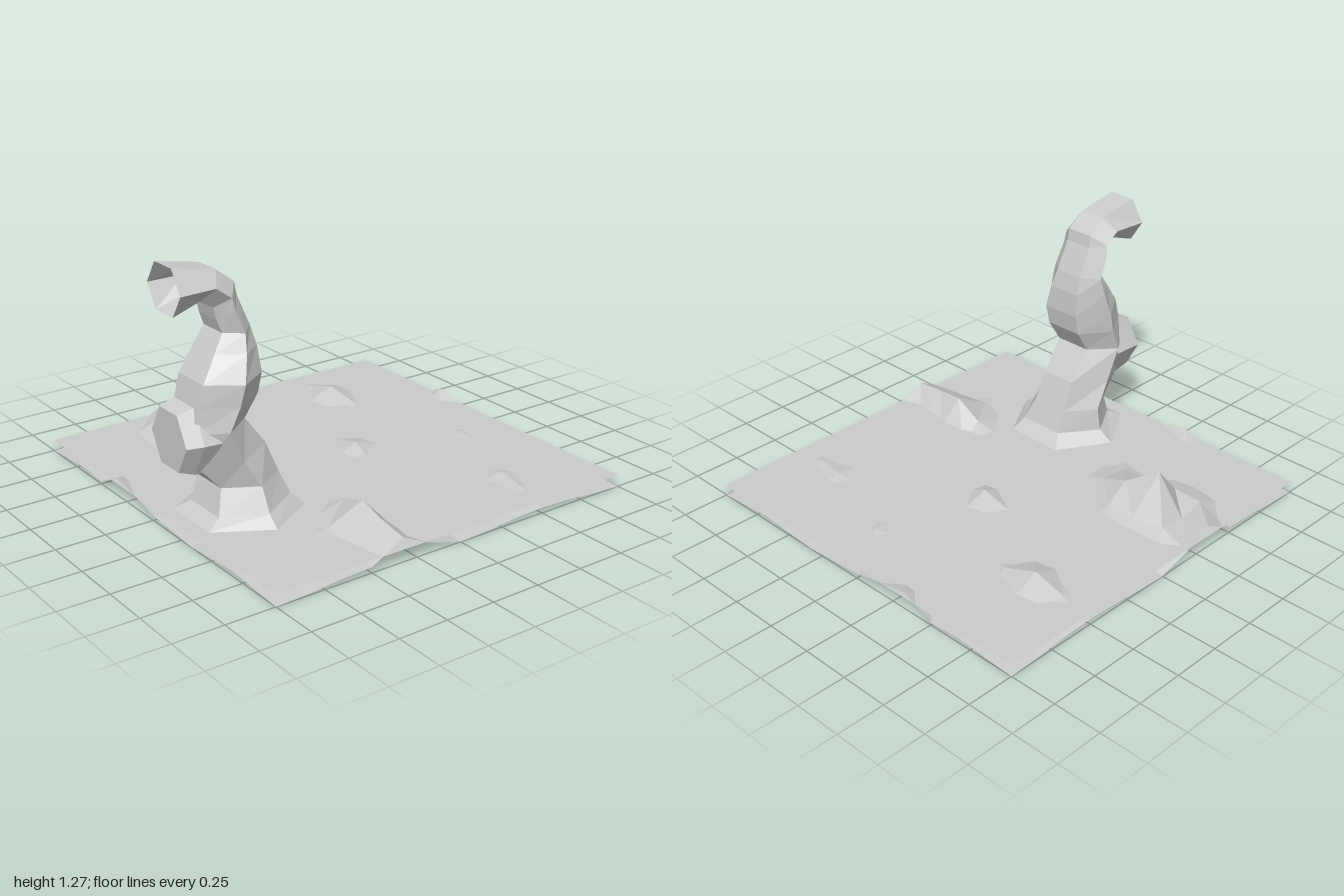
import * as THREE from 'three';

const grey = () => new THREE.MeshStandardMaterial({ color: 0xcccccc, flatShading: true, side: THREE.DoubleSide });

function addMesh(group, name, geometry) {
  const mesh = new THREE.Mesh(geometry, grey());
  mesh.name = name;
  group.add(mesh);
}

// Hexagonal tube through rings given as [innerX, innerY, outerX, outerY, zMin, zMax]
function hexTube(rings) {
  const sides = 6, pos = [], index = [];
  for (const [lx, ly, rx, ry, z0, z1] of rings) {
    for (let j = 0; j < sides; j++) {
      const a = Math.PI / 6 + (j * Math.PI) / 3;
      const c = Math.cos(a) / Math.cos(Math.PI / 6) / 2;
      pos.push((lx + rx) / 2 + (rx - lx) * c, (ly + ry) / 2 + (ry - ly) * c,
        (z0 + z1) / 2 + ((z1 - z0) / 2) * Math.sin(a));
    }
  }
  for (let i = 0; i < rings.length - 1; i++) {
    for (let j = 0; j < sides; j++) {
      const a = i * sides + j, b = i * sides + ((j + 1) % sides);
      index.push(a, a + sides, b, b, a + sides, b + sides);
    }
  }
  const g = new THREE.BufferGeometry();
  g.setAttribute('position', new THREE.Float32BufferAttribute(pos, 3));
  g.setIndex(index);
  g.computeVertexNormals();
  return g;
}

// Repeating sea floor: gentle swell, with chosen grid points pulled to peaks
function seaFloor() {
  const peaks = [
    // large hill
    [-.37, -.66, .255], [-.31, -.5, .16], [-.5, -.66, .1], [-.18, -.66, .08], [-.35, -.83, .07],
    [-.48, -.83, .11], [-.2, -.83, .09], [-.33, -.34, .095], [-.5, -.34, .075], [-.19, -.5, .08], [-.5, -.5, .07],
    // front ridge, meeting the back edge of the next tile
    [-.33, 1, .12], [-.18, 1, .05], [-.3, .67, .165], [-.32, .83, .14], [-.28, .5, .1], [-.48, .65, .07],
    // small bumps
    [.167, 0, .1], [.167, -.167, .06], [.5, -.667, .115], [.5, -.833, .07], [.53, -.5, .07],
    [.74, .167, .07], [.55, .667, .075], [.52, .833, .068], [1, -.333, .09], [1, -.167, .06],
  ];
  const n = 12, g = new THREE.PlaneGeometry(2, 2, n, n).rotateX(-Math.PI / 2);
  const p = g.attributes.position;
  const cell = (v) => Math.round((v + 1) * 6);
  for (let i = 0; i < p.count; i++) {
    let x = p.getX(i), z = p.getZ(i);
    let y = .027 + .014 * Math.cos(2 * Math.PI * (x - .5)) + .012 * Math.cos(3 * Math.PI * z);
    const u = cell(x), v = cell(z);
    const hit = peaks.find(([a, b]) => cell(a) % n === u % n && cell(b) % n === v % n);
    if (hit) {
      y = hit[2];
      if (u % n) x = hit[0];
      if (v % n) z = hit[1];
    }
    p.setXYZ(i, x, y, z);
  }
  g.computeVertexNormals();
  return g;
}

export function createModel() {
  const group = new THREE.Group();
  group.name = 'tentacleInWater';

  addMesh(group, 'seaFloor', seaFloor());
  addMesh(group, 'waterSurface', new THREE.PlaneGeometry(2, 2).rotateX(-Math.PI / 2).translate(0, .06, 0));

  // Tentacle rising from a flared foot and hooking over to an open end
  addMesh(group, 'tentacle', hexTube([
    [-.95, .02, -.38, .02, -.12, .53],
    [-.92, .06, -.40, .06, -.105, .515],
    [-.85, .10, -.46, .12, -.03, .45],
    [-.81, .22, -.50, .23, -.01, .39],
    [-.91, .33, -.56, .38, 0, .37],
    [-.95, .51, -.675, .53, 0, .385],
    [-.925, .63, -.61, .64, 0, .40],
    [-.90, .74, -.595, .74, 0, .415],
    [-.82, .86, -.60, .86, .015, .37],
    [-.765, .94, -.62, .95, .03, .335],
    [-.785, 1.0, -.68, 1.10, .03, .32],
    [-.80, 1.06, -.69, 1.16, .04, .315],
    [-.86, 1.10, -.78, 1.23, .04, .31],
    [-1, 1.05, -1, 1.27, .03, .31],
  ]));

  // Short side branch, closed where it meets the tile edge
  addMesh(group, 'sideBranch', hexTube([
    [-.84, .30, -.84, .64, .02, .36],
    [-.93, .31, -.92, .63, .02, .35],
    [-1, .33, -1, .60, .02, .32],
    [-1, .46, -1, .46, .17, .17],
  ]));

  return group;
}
